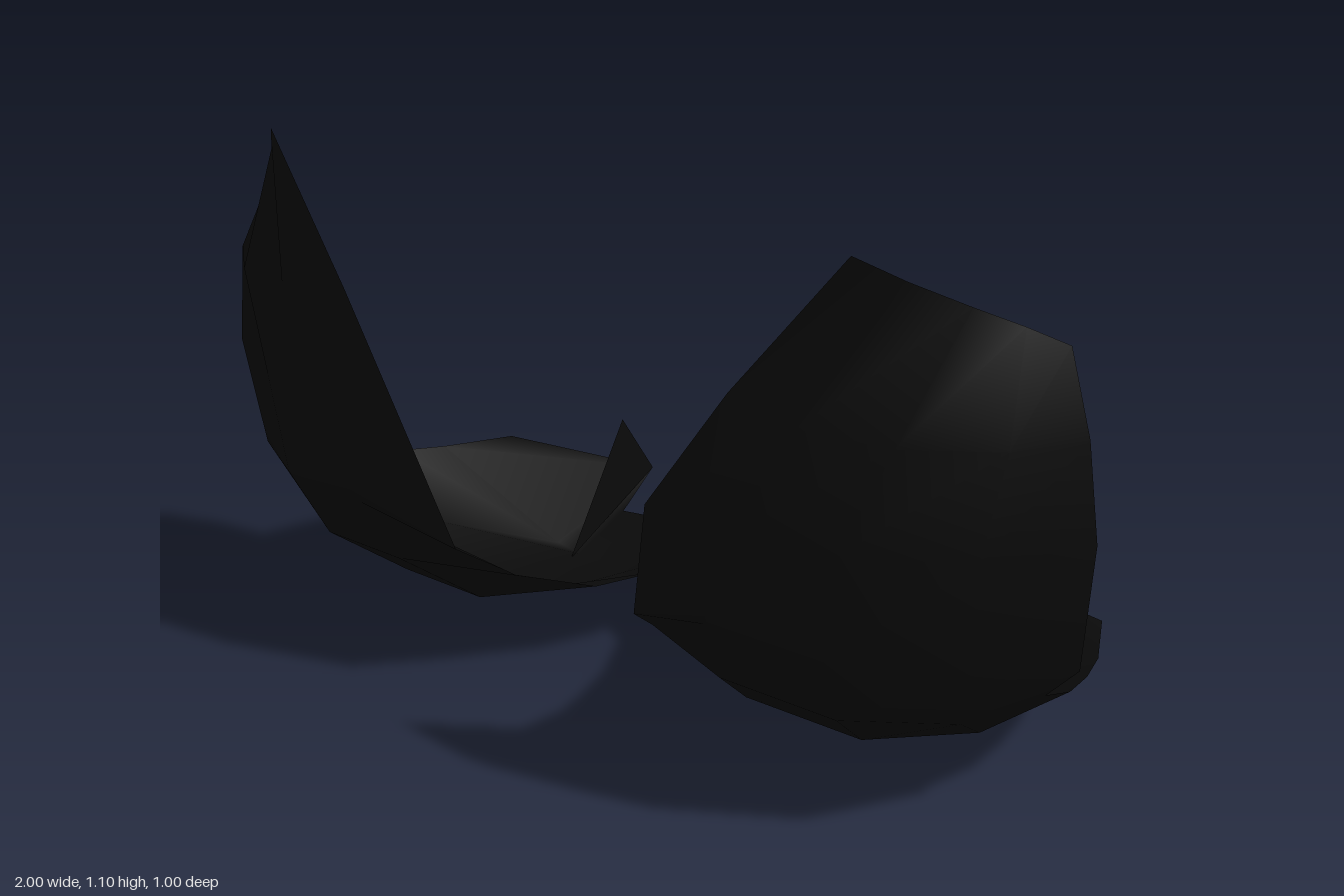
import * as THREE from 'three';

const black = new THREE.MeshStandardMaterial({ color: 0x0b0b0b, side: THREE.DoubleSide });
black.name = 'black';

// Cross-sections of one cup, each running from the inner rim to the outer rim
const frontWall = [
  [[0.66, 1.1, 0.42], [0.73, 1.055, 0.36], [0.81, 1.01, 0.29], [0.87, 0.97, 0.22], [0.92, 0.93, 0.155]],
  [[0.45, 0.83, 0.455], [0.6, 0.81, 0.475], [0.76, 0.8, 0.43], [0.9, 0.79, 0.31], [0.97, 0.78, 0.165]],
  [[0.29, 0.59, 0.475], [0.49, 0.6, 0.498], [0.68, 0.6, 0.46], [0.88, 0.6, 0.35], [1, 0.6, 0.17]],
  [[0.22, 0.33, 0.42], [0.42, 0.4, 0.48], [0.65, 0.39, 0.45], [0.86, 0.36, 0.32], [0.965, 0.33, 0.12]],
  [[0.17, 0.24, 0.3], [0.4, 0.25, 0.4], [0.63, 0.23, 0.37], [0.81, 0.23, 0.25], [0.9, 0.255, 0.11]],
];
const floor = [
  [[0.09, 0.18, 0.15], [0.34, 0.11, 0.23], [0.58, 0.09, 0.2], [0.78, 0.14, 0.12], [0.895, 0.21, 0]],
  [[0.03, 0.18, 0.02], [0.3, 0.05, 0], [0.53, 0.025, 0.01], [0.74, 0.08, -0.03], [0.88, 0.19, -0.1]],
  [[0.04, 0.17, -0.1], [0.28, 0.04, -0.17], [0.43, 0.015, -0.2], [0.53, 0, -0.24], [0.85, 0.17, -0.21]],
  [[0.05, 0.16, -0.19], [0.25, 0.105, -0.32], [0.42, 0.07, -0.35], [0.45, 0.12, -0.5], [0.78, 0.16, -0.37]],
];

// Joins sections into a smooth sheet; side = -1 mirrors it
function sheet(sections, side) {
  const width = sections[0].length;
  const points = sections.flat().map(([x, y, z]) => [x * side, y, z]);
  const index = [];
  const tri = (a, b, c) => index.push(...(side > 0 ? [a, b, c] : [a, c, b]));
  for (let r = 0; r < sections.length - 1; r++) {
    for (let c = 0; c < width - 1; c++) {
      const a = r * width + c, b = a + width;
      tri(a, b, a + 1);
      tri(a + 1, b, b + 1);
    }
  }
  return finish(points, index);
}

function finish(points, index) {
  const g = new THREE.BufferGeometry();
  g.setAttribute('position', new THREE.Float32BufferAttribute(points.flat(), 3));
  g.setIndex(index);
  g.computeVertexNormals();
  return g;
}

// A thin upright triangular fold
function fold(corners, side) {
  return finish(corners.map(([x, y, z]) => [x * side, y, z]), side > 0 ? [0, 1, 2] : [0, 2, 1]);
}

export function createModel() {
  const model = new THREE.Group();
  model.name = 'cups';
  for (const [name, side] of [['left', 1], ['right', -1]]) {
    const cup = new THREE.Group();
    cup.name = name + 'Cup';
    const add = (part, geometry) => {
      const mesh = new THREE.Mesh(geometry, black);
      mesh.name = name + part;
      cup.add(mesh);
    };
    add('Shell', sheet([...frontWall, ...floor], side));
    // Fold crossing the centre line, and fold at the back
    add('CentreFold', fold([[0.03, 0.18, 0.02], [-0.045, 0.34, -0.105], [0.05, 0.16, -0.19]], side));
    add('BackFold', fold([[0.43, 0.015, -0.17], [0.42, 0.3, -0.35], [0.45, 0.12, -0.5]], side));
    model.add(cup);
  }
  return model;
}
